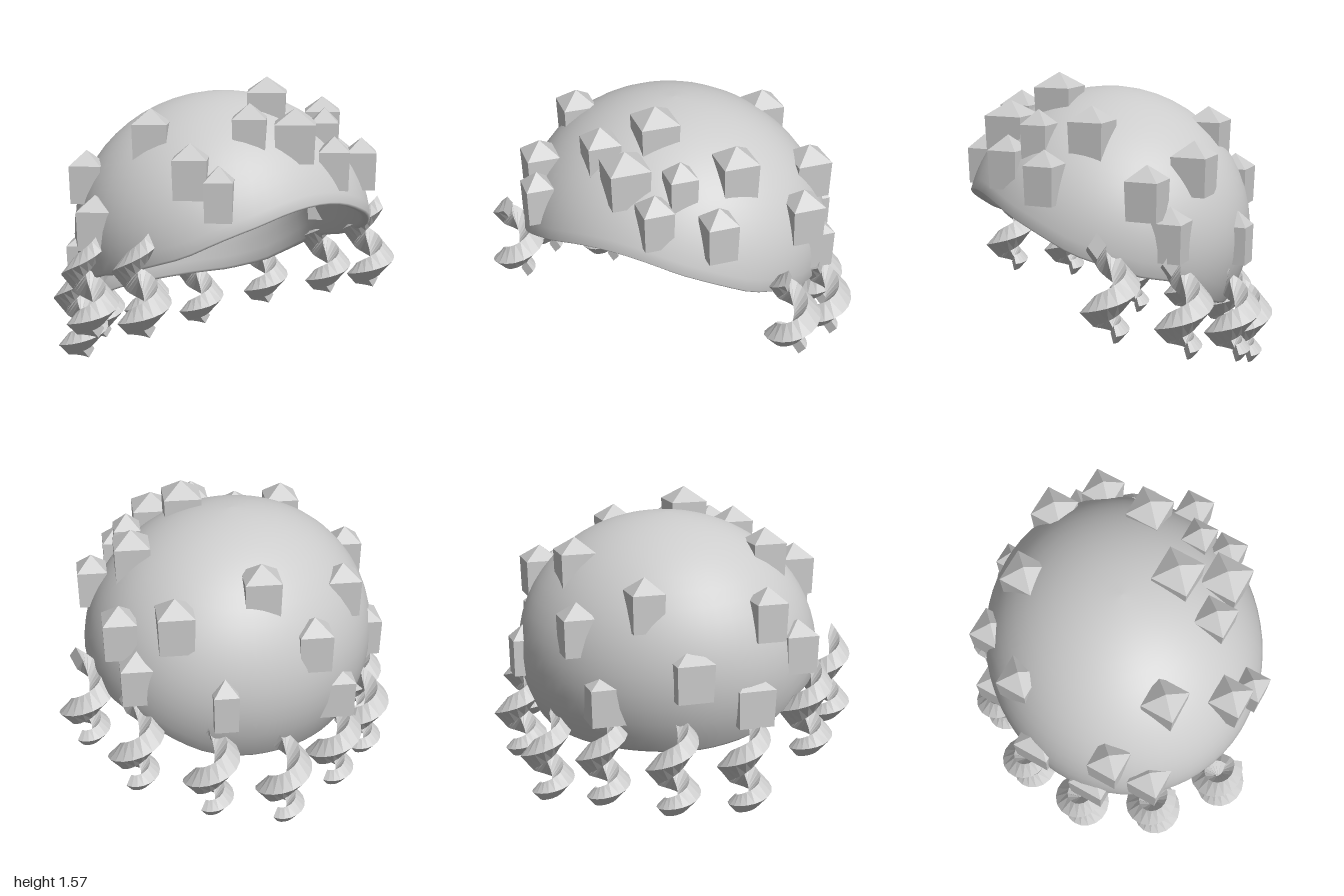
import * as THREE from 'three';

// Skin closed rings of points, top to bottom, wrapping around each ring
function loft(rings) {
  const n = rings[0].length, pos = rings.flat(2), index = [];
  for (let j = 0; j < rings.length - 1; j++) {
    for (let i = 0; i < n; i++) {
      const k = (i + 1) % n;
      const a = j * n + i, b = a + n, c = (j + 1) * n + k, d = j * n + k;
      index.push(a, b, d, b, c, d);
    }
  }
  const g = new THREE.BufferGeometry();
  g.setAttribute('position', new THREE.Float32BufferAttribute(pos, 3));
  g.setIndex(index);
  g.computeVertexNormals();
  return g;
}

function faceted(g) {
  const flat = g.toNonIndexed();
  flat.computeVertexNormals();
  return flat;
}

// Rim height against the cosine of the angle from the front
const RIM = [[-1, 0.36], [-0.75, 0.38], [-0.5, 0.43], [-0.27, 0.52], [-0.07, 0.6],
  [0.2, 0.64], [0.6, 0.75], [0.9, 0.9], [1, 0.97]];
function rimHeight(c) {
  let i = 0;
  while (i < RIM.length - 2 && c > RIM[i + 1][0]) i++;
  const [a, ya] = RIM[i], [b, yb] = RIM[i + 1];
  return ya + (yb - ya) * (c - a) / (b - a);
}

// Open shell with a rounded rim and a thick lip turned up inside
function capGeometry() {
  const N = 64, ROWS = 18, rings = [];
  const ring = (phiOf, s, drop = 0) => {
    const out = [];
    for (let i = 0; i < N; i++) {
      const t = i / N * Math.PI * 2, c = Math.cos(t);
      const p = phiOf(Math.acos((rimHeight(c) - 0.75) / 0.73));
      const rz = c > 0 ? 0.77 : 0.73;
      out.push([0.82 * s * Math.sin(p) * Math.sin(t), 0.75 + 0.73 * Math.cos(p) - drop,
        0.05 + rz * s * Math.sin(p) * c]);
    }
    return out;
  };
  for (let j = 0; j <= ROWS; j++) rings.push(ring((e) => e * Math.max(j, 0.01) / ROWS, 1));
  rings.push(ring((e) => e, 0.985, 0.012));
  rings.push(ring((e) => e, 0.96, 0.012));
  rings.push(ring((e) => e, 0.935, -0.005));
  rings.push(ring((e) => e - 0.1, 0.89));
  rings.push(ring((e) => e - 0.2, 0.85));
  rings.push(ring((e) => e - 0.3, 0.83));
  return loft(rings);
}

// Corkscrew of diamond section that tightens downward, origin at the foot of its axis
function curlGeometry() {
  const STEPS = 32, TOP = 0.48, BOTTOM = 0.05, TURNS = 1.75, INNER = 0.015, rings = [];
  const { smoothstep } = THREE.MathUtils;
  const section = (t, size) => {
    const th = -t * TURNS * Math.PI * 2;
    const outer = 0.11 + 0.04 * smoothstep(t, 0, 0.3) - 0.06 * smoothstep(t, 0.5, 1);
    const mid = (outer + INNER) / 2, a = (outer - INNER) / 2 * size;
    const b = (0.065 + 0.015 * smoothstep(t, 0, 0.3) - 0.035 * smoothstep(t, 0.4, 1)) * size;
    const y = BOTTOM + (TOP - BOTTOM) * Math.pow(1 - t, 1.6);
    const at = (d, h) => [(mid + d) * Math.sin(th), y + h, (mid + d) * Math.cos(th)];
    return [at(a, 0), at(0, -b), at(-a, 0), at(0, b)];
  };
  rings.push(section(0, 0));
  for (let i = 0; i <= STEPS; i++) rings.push(section(i / STEPS, 1));
  rings.push(section(1, 0));
  return faceted(loft(rings));
}

// Upright four-sided stud with a pyramid top, apex at the origin, radius 1
function studGeometry() {
  const pts = [[0, -0.27], [0.93, -0.27], [1, -0.075], [0, 0]].map((p) => new THREE.Vector2(...p));
  return faceted(new THREE.LatheGeometry(pts, 4));
}

// Studs: apex x, y, z and radius
const STUDS = [
  [0.04, 1.57, 0.35, 0.14], [0.47, 1.44, 0.33, 0.13], [0.31, 1.39, -0.38, 0.13],
  [0.68, 1.27, -0.13, 0.13], [0.77, 1.18, 0.16, 0.12], [0.5, 1.24, 0.59, 0.11],
  [0.27, 1.41, 0.54, 0.1], [0, 1.43, 0.6, 0.145], [0.2, 1.28, 0.68, 0.11],
  [-0.2, 1.46, 0.48, 0.12], [-0.57, 1.29, 0.46, 0.12], [-0.51, 1.19, 0.6, 0.1],
  [-0.54, 1.43, 0.12, 0.125], [-0.7, 1.2, -0.21, 0.115], [-0.79, 1.0, -0.02, 0.12],
  [-0.18, 1.26, -0.54, 0.12], [0.17, 1.11, -0.61, 0.12], [-0.42, 0.93, -0.51, 0.14],
  [0, 0.78, -0.62, 0.145], [0.63, 0.89, -0.4, 0.09], [0.78, 0.97, 0.04, 0.125],
  [-0.65, 0.77, -0.28, 0.14],
];

// Curls: axis x, bottom y, axis z
const CURLS = [
  [0.81, 0.33, 0.37], [0.85, 0.22, 0], [0.68, 0.12, -0.35], [0.37, 0, -0.58], [0, 0.06, -0.64],
  [-0.37, 0.05, -0.58], [-0.66, 0.04, -0.35], [-0.85, 0.26, 0], [-0.81, 0.33, 0.37],
];

export function createModel() {
  const model = new THREE.Group();
  model.name = 'curlyWig';
  const grey = new THREE.MeshStandardMaterial({ color: 0xcccccc, side: THREE.DoubleSide });
  grey.name = 'light grey';

  const add = (geometry, name) => {
    const mesh = new THREE.Mesh(geometry, grey);
    mesh.name = name;
    model.add(mesh);
    return mesh;
  };

  add(capGeometry(), 'hairCap');

  const stud = studGeometry();
  STUDS.forEach(([x, y, z, r], i) => {
    const mesh = add(stud, 'stud' + (i + 1));
    mesh.position.set(x, y, z);
    mesh.scale.set(r, 1, r);
  });

  const curl = curlGeometry();
  CURLS.forEach(([x, y, z], i) => {
    add(curl, 'curl' + (i + 1)).position.set(x, y, z);
  });

  return model;
}
